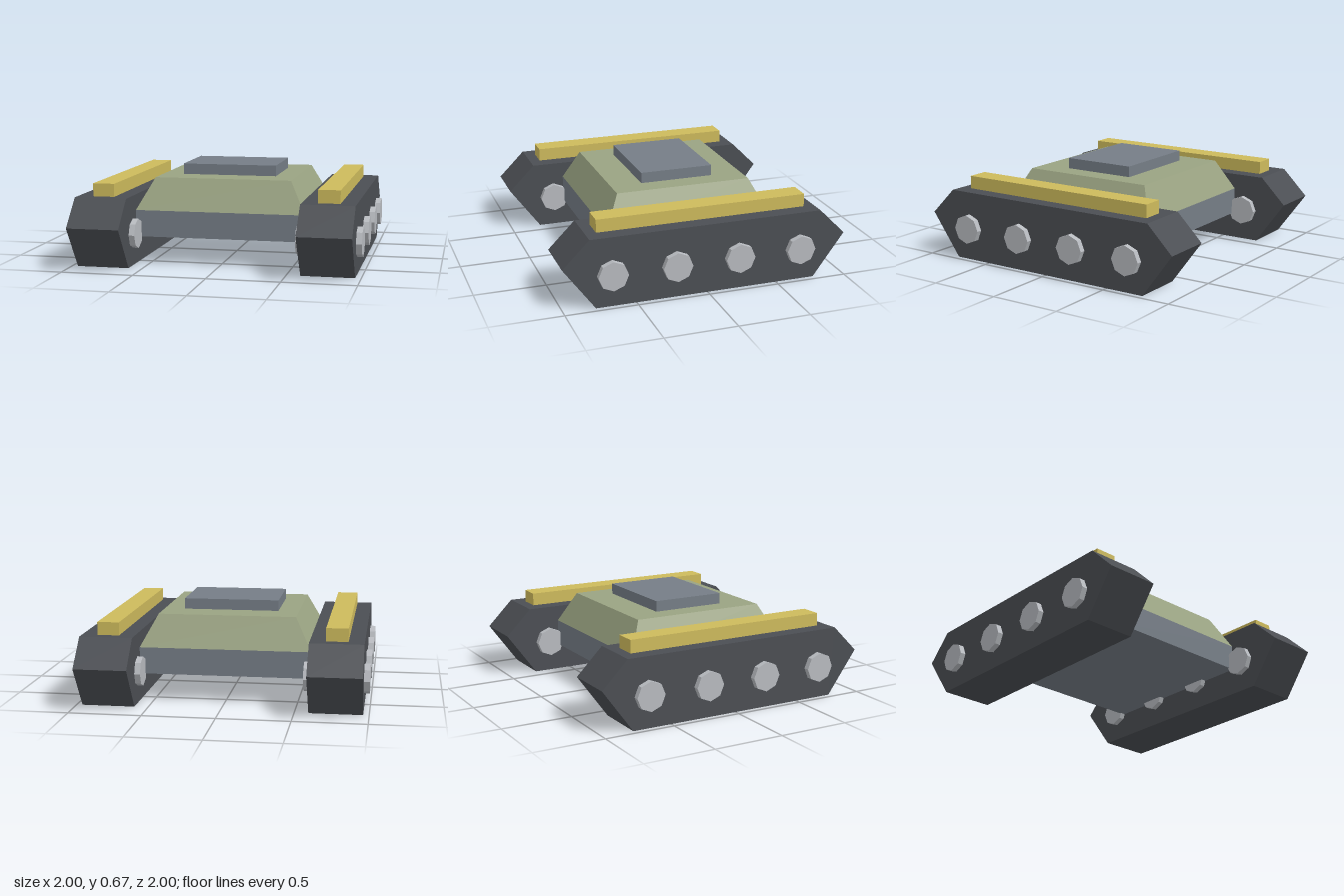
import * as THREE from 'three';

const mat = (name, color) => {
  const m = new THREE.MeshStandardMaterial({ color, flatShading: true });
  m.name = name;
  return m;
};

export function createModel() {
  const model = new THREE.Group();
  model.name = 'trackedVehicle';

  const track = mat('darkTrack', 0x4b4e53);
  const steel = mat('steelGrey', 0x757d86);
  const olive = mat('oliveArmour', 0x9aa382);
  const gold = mat('goldRail', 0xcdba5c);
  const metal = mat('lightMetal', 0xb7babf);

  const add = (name, geometry, material, x = 0, y = 0, z = 0) => {
    const mesh = new THREE.Mesh(geometry, material);
    mesh.name = name;
    mesh.position.set(x, y, z);
    model.add(mesh);
    return mesh;
  };

  // Lower hull
  add('lowerHull', new THREE.BoxGeometry(1.19, 0.185, 1.18), steel, 0, 0.2825, 0);

  // Sloped upper hull: a box whose top is drawn in
  const upper = new THREE.BoxGeometry(1.19, 0.22, 1.18);
  const p = upper.attributes.position;
  for (let i = 0; i < p.count; i++) {
    if (p.getY(i) > 0) {
      p.setX(i, Math.sign(p.getX(i)) * 0.48);
      p.setZ(i, Math.sign(p.getZ(i)) * 0.482);
    }
  }
  upper.computeVertexNormals();
  add('upperHull', upper, olive, 0, 0.485, 0);

  // Roof plate
  add('roofPlate', new THREE.BoxGeometry(0.67, 0.075, 0.52), steel, 0, 0.6325, 0);

  // Six-sided track profile, extruded across the track width
  const width = 0.365;
  const profile = new THREE.Shape([
    [-0.78, 0], [0.78, 0], [1, 0.3], [0.815, 0.485], [-0.815, 0.485], [-1, 0.3],
  ].map(([z, y]) => new THREE.Vector2(z, y)));
  const trackGeo = new THREE.ExtrudeGeometry(profile, { depth: width, bevelEnabled: false });
  trackGeo.translate(0, 0, -width / 2).rotateY(Math.PI / 2);

  // Eight-sided wheels running right through each track
  const wheelGeo = new THREE.CylinderGeometry(0.103, 0.103, 0.445, 8).rotateZ(Math.PI / 2);
  const railGeo = new THREE.BoxGeometry(0.15, 0.09, 1.48);

  for (const [side, s] of [['left', 1], ['right', -1]]) {
    const x = s * 0.7775;
    add(side + 'Track', trackGeo, track, x);
    add(side + 'Rail', railGeo, gold, x, 0.53, 0);
    for (let i = 0; i < 4; i++) {
      add(side + 'Wheel' + (i + 1), wheelGeo, metal, x, 0.225, 0.667 - i * 0.4447);
    }
  }
  return model;
}
